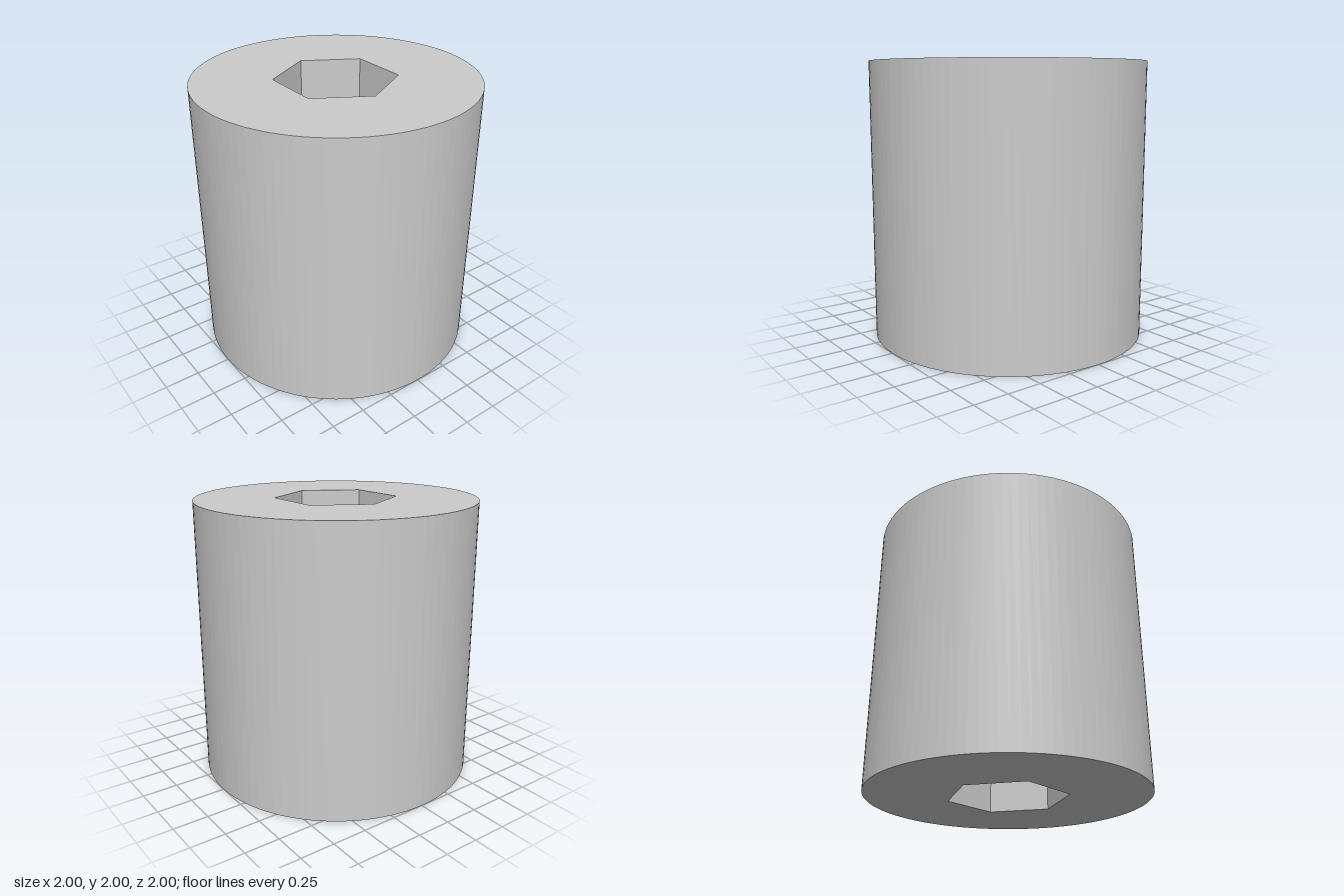
import * as THREE from 'three';

const RADIUS = 1;
const HEIGHT = 2;
const HEX_RADIUS = 0.433; // centre to corner, corners on the x axis

export function createModel() {
  const group = new THREE.Group();
  group.name = 'hexBoreCylinder';

  // Round outline
  const outline = new THREE.Shape();
  outline.absarc(0, 0, RADIUS, 0, Math.PI * 2, false);

  // Hexagonal bore running right through
  const corners = [];
  for (let i = 0; i < 6; i++) {
    const a = -i * Math.PI / 3;
    corners.push(new THREE.Vector2(HEX_RADIUS * Math.cos(a), HEX_RADIUS * Math.sin(a)));
  }
  const bore = new THREE.Path(corners);
  bore.closePath();
  outline.holes.push(bore);

  // Extrude upwards from the ground, with fine flat facets on the wall
  const geometry = new THREE.ExtrudeGeometry(outline, {
    depth: HEIGHT,
    bevelEnabled: false,
    curveSegments: 50,
  });
  geometry.rotateX(-Math.PI / 2);

  const body = new THREE.Mesh(geometry, new THREE.MeshStandardMaterial({ color: 0xcccccc }));
  body.name = 'cylinderBody';
  group.add(body);
  return group;
}
